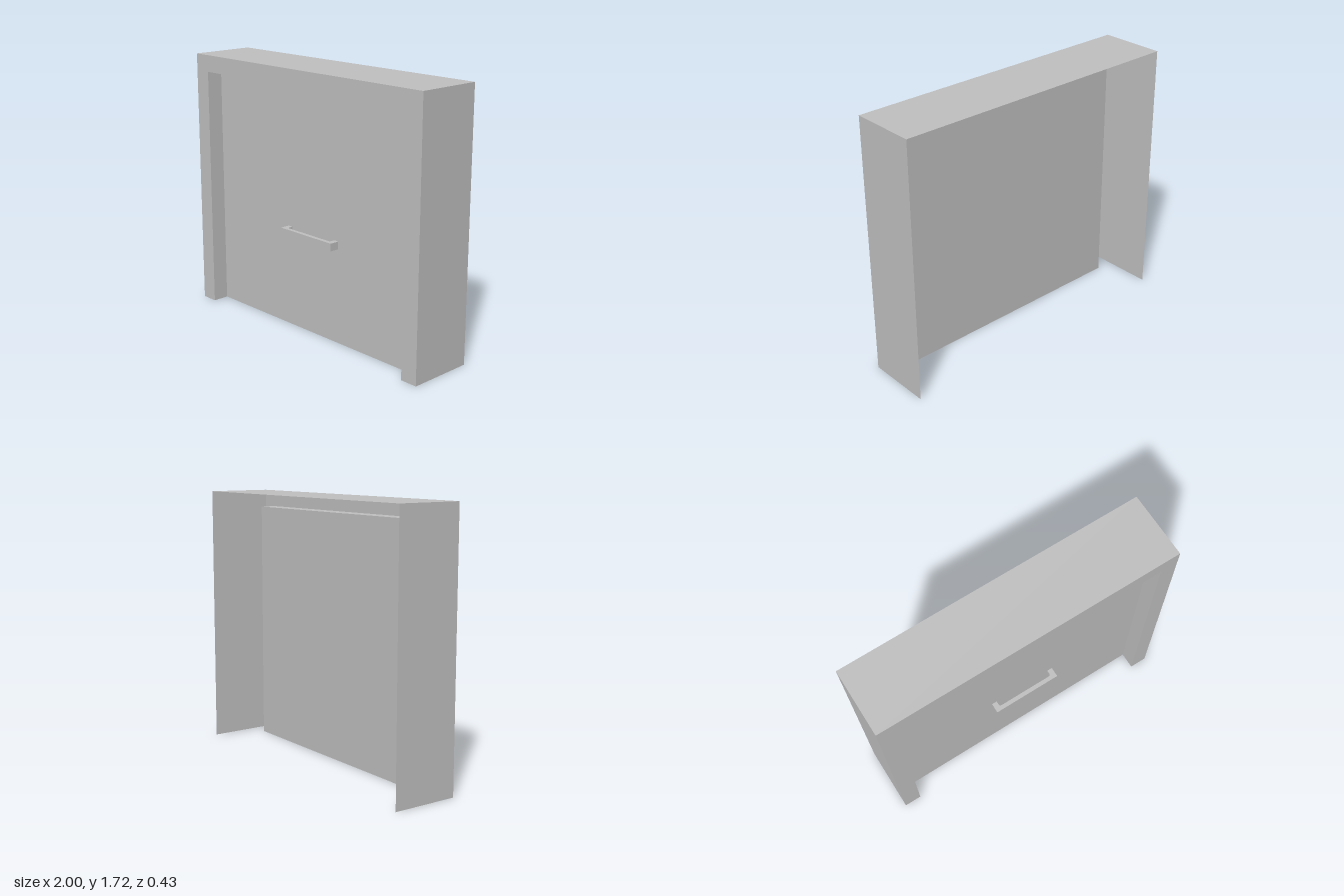
import * as THREE from 'three';

const W = 1, H = 1.72, FRONT = 0.217, BACK = -0.217; // outer casing
const OW = 0.885, OH = 1.61, DOOR_Z = 0.108;         // opening and recessed door

const grey = new THREE.MeshStandardMaterial({ color: 0xc0c0c0, side: THREE.DoubleSide });
grey.name = 'light grey';

function add(group, name, geometry, x = 0, y = 0, z = 0) {
  const mesh = new THREE.Mesh(geometry, grey);
  mesh.name = name;
  mesh.position.set(x, y, z);
  group.add(mesh);
  return mesh;
}

// Three thin sheets (two sides and a top) forming an arch between two depths
function addArch(group, name, halfWidth, height, z0, z1) {
  const depth = z1 - z0, z = (z0 + z1) / 2;
  for (const s of [-1, 1]) {
    const side = add(group, name + (s > 0 ? 'Left' : 'Right'),
      new THREE.PlaneGeometry(depth, height), s * halfWidth, height / 2, z);
    side.rotation.y = s * Math.PI / 2;
  }
  const top = add(group, name + 'Top',
    new THREE.PlaneGeometry(halfWidth * 2, depth), 0, height, z);
  top.rotation.x = -Math.PI / 2;
}

export function createModel() {
  const model = new THREE.Group();
  model.name = 'doorInCasing';

  // Outer casing, open at the back and bottom
  addArch(model, 'casing', W, H, BACK, FRONT);

  // Flat front surround
  const surround = new THREE.Shape([
    [-W, 0], [-OW, 0], [-OW, OH], [OW, OH], [OW, 0], [W, 0], [W, H], [-W, H],
  ].map(([x, y]) => new THREE.Vector2(x, y)));
  add(model, 'frontSurround', new THREE.ShapeGeometry(surround), 0, 0, FRONT);

  // Reveal leading back to the door
  addArch(model, 'reveal', OW, OH, DOOR_Z, FRONT);

  // Door panel
  add(model, 'doorPanel', new THREE.PlaneGeometry(OW * 2, OH), 0, OH / 2, DOOR_Z);

  // U-shaped pull handle with rounded inner corners, drawn in plan
  const w = 0.23, d = 0.065, leg = 0.035, bar = 0.027, r = 0.015;
  const i = w - leg, inner = d - bar;
  const plan = new THREE.Shape();
  plan.moveTo(-w, 0);
  plan.lineTo(-i, 0);
  plan.lineTo(-i, inner - r);
  plan.quadraticCurveTo(-i, inner, -i + r, inner);
  plan.lineTo(i - r, inner);
  plan.quadraticCurveTo(i, inner, i, inner - r);
  plan.lineTo(i, 0);
  plan.lineTo(w, 0);
  plan.lineTo(w, d);
  plan.lineTo(-w, d);
  const pull = new THREE.ExtrudeGeometry(plan, { depth: 0.05, bevelEnabled: false, curveSegments: 6 });
  pull.rotateX(Math.PI / 2);
  add(model, 'handle', pull, 0.012, 0.675, DOOR_Z);

  return model;
}
